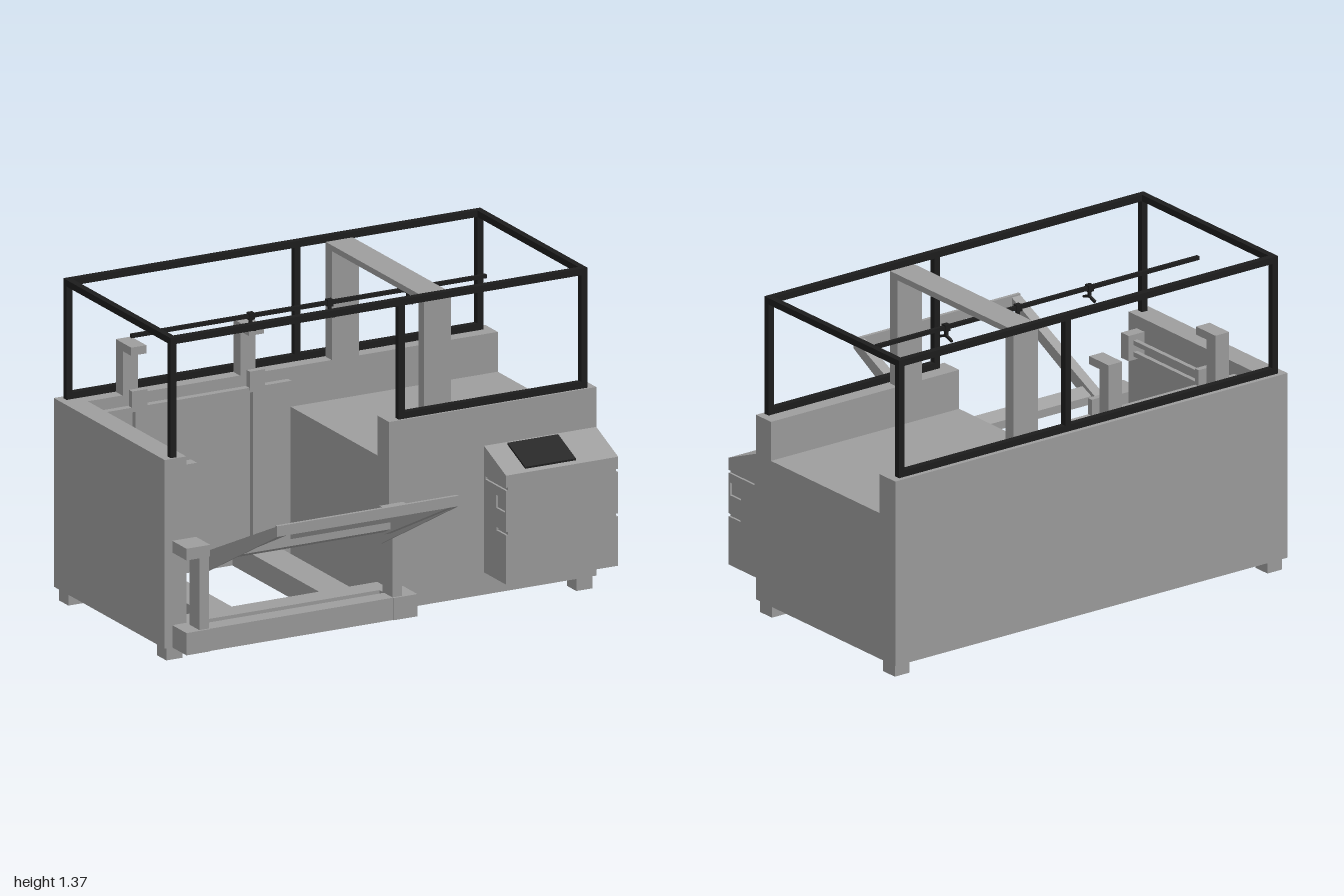
import * as THREE from 'three';

export function createModel() {
  const model = new THREE.Group();
  const grey = new THREE.MeshStandardMaterial({ color: 0x9e9e9e });
  grey.name = 'machine grey';
  const black = new THREE.MeshStandardMaterial({ color: 0x1d1d1d });
  black.name = 'frame black';

  const add = (name, geometry, material) => {
    const mesh = new THREE.Mesh(geometry, material);
    mesh.name = name;
    model.add(mesh);
    return mesh;
  };
  // Box given by its limits on each axis
  const box = (name, x0, x1, y0, y1, z0, z1, material = grey) => {
    const g = new THREE.BoxGeometry(x1 - x0, y1 - y0, z1 - z0);
    g.translate((x0 + x1) / 2, (y0 + y1) / 2, (z0 + z1) / 2);
    return add(name, g, material);
  };
  // Side profile of [z, y] points, extruded from x0 to x1
  const toPoints = pts => pts.map(([z, y]) => new THREE.Vector2(-z, y));
  const profile = (name, x0, x1, pts, material = grey, hole = null) => {
    const shape = new THREE.Shape(toPoints(pts));
    if (hole) shape.holes.push(new THREE.Path(toPoints(hole)));
    const g = new THREE.ExtrudeGeometry(shape, { depth: x1 - x0, bevelEnabled: false });
    g.rotateY(Math.PI / 2).translate(x0, 0, 0);
    return add(name, g, material);
  };

  // Cabinet: solid right half with a sunken deck, open bay on the other half
  box('cabinetBlock', 0.04, 1, 0.055, 0.69, -0.705, 0.125);
  box('deckFrontWall', 0.04, 1, 0.69, 0.86, 0.025, 0.125);
  box('backWall', -1, 1, 0.055, 0.86, -0.81, -0.705);
  box('endWall', -1, -0.9, 0.055, 0.86, -0.705, 0.125);
  box('bayFrontSill', -0.9, 0.04, 0.055, 0.15, 0.025, 0.125);
  for (const x of [-0.95, 0.95])
    for (const z of [0.075, -0.75])
      box('foot', x - 0.037, x + 0.037, 0, 0.055, z - 0.04, z + 0.04);

  // Bay floor beams, posts and the brackets above the back wall
  for (const x of [-0.705, -0.16]) {
    box('floorBeam', x - 0.07, x + 0.07, 0.055, 0.15, -0.705, 0.025);
    box('bayPost', x - 0.019, x + 0.019, 0.15, 0.83, -0.648, -0.622);
    box('postCarriage', x - 0.035, x + 0.035, 0.82, 0.9, -0.648, -0.622);
    box('bracketUpright', x - 0.035, x + 0.035, 0.86, 1.085, -0.76, -0.7);
    box('bracketArm', x - 0.035, x + 0.035, 1.05, 1.085, -0.7, -0.63);
  }
  box('postRail', -0.87, 0, 0.81, 0.83, -0.655, -0.625);

  // Rails along the inside of the end wall
  for (const y of [0.72, 0.77]) {
    box('wallRail', -0.865, -0.845, y - 0.01, y + 0.01, -0.7, 0.03);
    box('railBracket', -0.9, -0.84, y - 0.015, y + 0.015, -0.7, -0.66);
  }
  box('railEndBlock', -0.9, -0.82, 0.695, 0.805, 0.02, 0.07);

  // Support frame in front of the bay
  box('supportBar', -0.855, 0, 0.055, 0.15, 0.165, 0.24);
  for (const s of [-1, 1]) {
    const side = (name, a, b, y0, y1, z0, z1) => {
      const u = -0.43 + s * a, v = -0.43 + s * b;
      box(name, Math.min(u, v), Math.max(u, v), y0, y1, z0, z1);
    };
    side('supportFoot', 0.425, 0.535, 0.055, 0.15, 0.125, 0.245);
    side('supportPost', 0.425, 0.47, 0.15, 0.46, 0.15, 0.235);
    side('supportCap', 0.425, 0.535, 0.46, 0.51, 0.125, 0.245);
  }

  // Sloping tray frame
  for (const [outer, inner] of [[-0.85, -0.805], [-0.01, -0.055]]) {
    profile('trayRail', Math.min(outer, inner), Math.max(outer, inner),
      [[0.8, 0.745], [0.8, 0.7], [0.25, 0.43], [0.16, 0.41], [0.16, 0.45]]);
    const lip = outer + Math.sign(inner - outer) * 0.01;
    profile('trayRailLip', Math.min(outer, lip), Math.max(outer, lip),
      [[0.8, 0.744], [0.8, 0.7], [0.16, 0.36], [0.16, 0.449]]);
  }
  box('trayFrontBar', -0.85, -0.01, 0.7, 0.745, 0.785, 0.8);
  profile('trayRearBar', -0.81, -0.05,
    [[0.31, 0.5], [0.31, 0.47], [0.25, 0.44], [0.25, 0.475]]);

  // Control cabinet with grooved, recessed ends
  profile('controlCabinet', 0.49, 0.99,
    [[0.125, 0.15], [0.125, 0.69], [0.31, 0.615], [0.31, 0.15]]);
  const gap = 0.55, slot = 0.36;
  for (const x of [0.48, 0.99])
    profile('controlCabinetEnd', x, x + 0.01,
      [[0.125, 0.15], [0.125, 0.69], [0.31, 0.615], [0.31, gap + 0.013], [0.135, gap + 0.013],
        [0.135, gap], [0.31, gap], [0.31, slot + 0.014], [0.23, slot + 0.014],
        [0.23, slot], [0.31, slot], [0.31, 0.15]],
      grey, [[0.225, 0.455], [0.3, 0.455], [0.3, 0.51], [0.225, 0.51]]);
  profile('screen', 0.58, 0.815,
    [[0.14, 0.684], [0.14, 0.692], [0.29, 0.631], [0.29, 0.623]], black);

  // Gantry over the deck
  box('gantryFrontLeg', 0.23, 0.355, 0.86, 1.35, 0.025, 0.075);
  box('gantryBackLeg', 0.23, 0.355, 0.86, 1.35, -0.755, -0.7);
  box('gantryBeam', 0.23, 0.355, 1.325, 1.35, -0.7, 0.025);

  // Black guard frame
  const t = 0.028, X0 = -0.967, X1 = 0.965, Z0 = -0.79, Z1 = 0.115, Y0 = 0.86, Y1 = 1.372;
  for (const z of [Z0, Z1 - t]) {
    for (const x of [X0, 0.09, X1 - t])
      box('guardPost', x, x + t, Y0, Y1 - t, z, z + t, black);
    box('guardTopRail', X0, X1, Y1 - t, Y1, z, z + t, black);
    box('guardBottomRail', (z === Z0 ? X0 : 0.09) + t, X1 - t, Y0, Y0 + t, z, z + t, black);
  }
  for (const x of [X0, X1 - t])
    box('guardSideRail', x, x + t, Y1 - t, Y1, Z0 + t, Z1 - t, black);

  // Spray pipe with forked nozzles
  const pz = -0.342;
  box('sprayPipe', -0.9, 0.745, 1.234, 1.25, pz - 0.008, pz + 0.008, black);
  for (const x of [-0.345, 0.02, 0.385]) {
    box('nozzleClamp', x - 0.013, x + 0.013, 1.227, 1.256, pz - 0.013, pz + 0.013, black);
    box('nozzleStem', x - 0.006, x + 0.006, 1.2, 1.227, pz - 0.006, pz + 0.006, black);
    for (const s of [-1, 1]) {
      const arm = add('nozzleArm', new THREE.BoxGeometry(0.01, 0.01, 0.042), black);
      arm.position.set(x, 1.199, pz + s * 0.019);
      arm.rotation.x = s * 0.35;
    }
  }
  return model;
}
